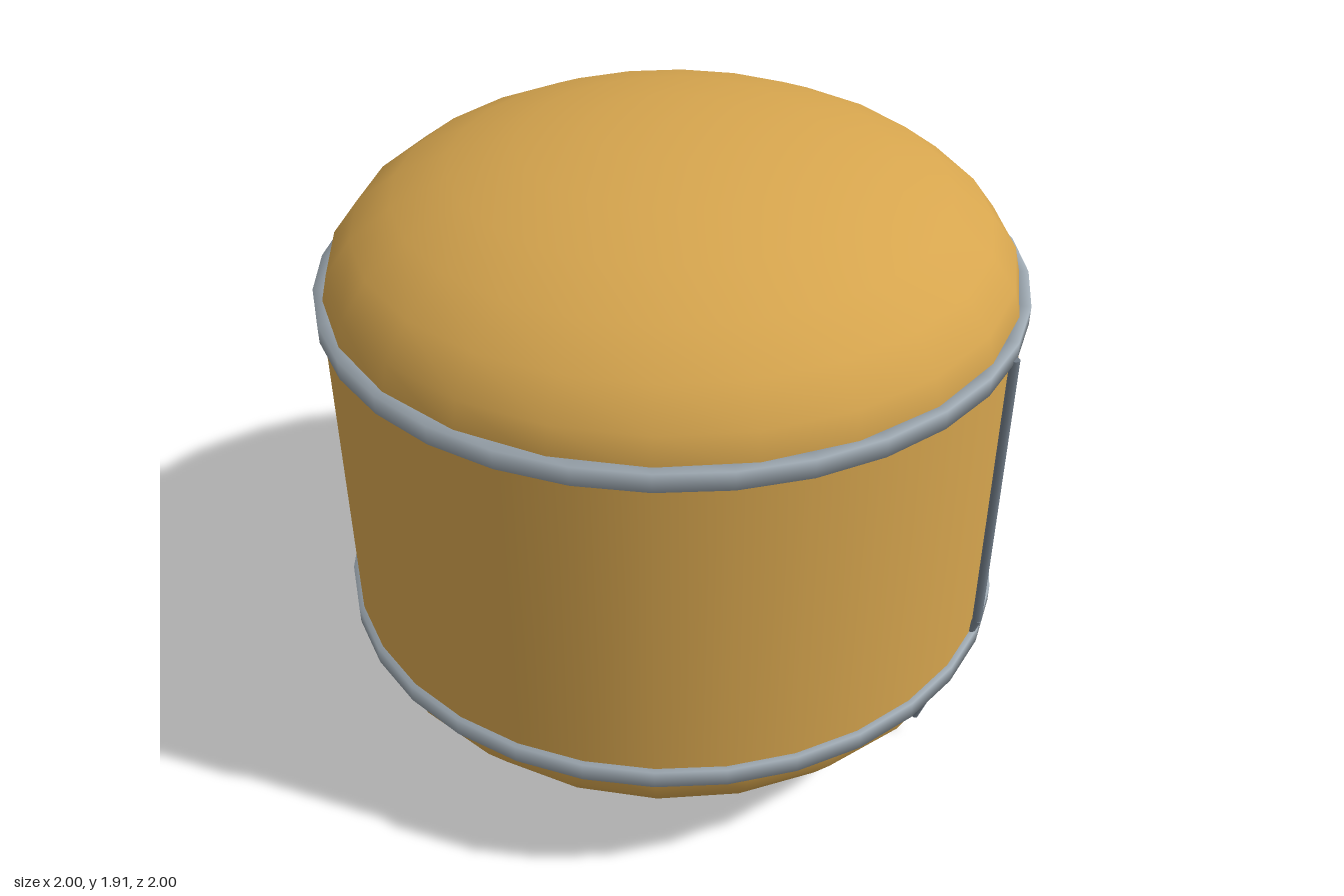
import * as THREE from 'three';

export function createModel() {
  const group = new THREE.Group();
  const mat = (name, color) => {
    const m = new THREE.MeshStandardMaterial({ color });
    m.name = name;
    return m;
  };
  const ochre = mat('ochre shell', 0xd6a54e);
  const steel = mat('light steel', 0xa0abb4);
  const darkSteel = mat('dark steel', 0x6f7a85);
  const LOW = 0.46, HIGH = 1.46;

  const add = (name, geometry, material, parent = group) => {
    const mesh = new THREE.Mesh(geometry, material);
    mesh.name = name;
    parent.add(mesh);
    return mesh;
  };

  // Straight tank wall
  add('tankWall', new THREE.CylinderGeometry(0.985, 0.985, HIGH - LOW, 32), ochre).position.y = (LOW + HIGH) / 2;

  // Flattened domes, top and bottom
  const dome = new THREE.SphereGeometry(0.98, 24, 7, 0, Math.PI * 2, 0, Math.PI / 2);
  dome.scale(1, 0.455 / 0.98, 1);
  add('topDome', dome, ochre).position.y = HIGH - 0.003;
  const bottom = add('bottomDome', dome, ochre);
  bottom.position.y = LOW;
  bottom.rotation.x = Math.PI;

  // Hoops covering the seams: small square section, softly shaded
  const h = 0.027;
  const section = [[-h, -h], [h, -h], [h, h], [-h, h], [-h, -h]]
    .map(([r, y]) => new THREE.Vector2(0.973 + r, y));
  const hoop = new THREE.LatheGeometry(section, 32);
  add('lowerHoop', hoop, steel).position.y = 0.465;
  add('upperHoop', hoop, steel).position.y = 1.456;

  // Thin rods down opposite sides, bent inwards below the lower hoop
  const rod = (name, a, b, radius, parent) => {
    const dir = b.clone().sub(a);
    const mesh = add(name, new THREE.CylinderGeometry(radius, radius, dir.length(), 8), darkSteel, parent);
    mesh.position.copy(a).add(b).multiplyScalar(0.5);
    mesh.quaternion.setFromUnitVectors(new THREE.Vector3(0, 1, 0), dir.normalize());
  };
  const top = new THREE.Vector3(0.367, 1.44, 0.928);
  const bend = new THREE.Vector3(0.367, 0.535, 0.928);
  const foot = new THREE.Vector3(0.31, 0.08, 0.787);
  for (const [name, turn] of [['frontPipe', 0], ['backPipe', Math.PI]]) {
    const pipe = new THREE.Group();
    pipe.name = name;
    pipe.rotation.y = turn;
    rod('uprightRod', bend, top, 0.014, pipe);
    rod('bentRod', foot, bend, 0.014, pipe);
    group.add(pipe);
  }

  return group;
}
